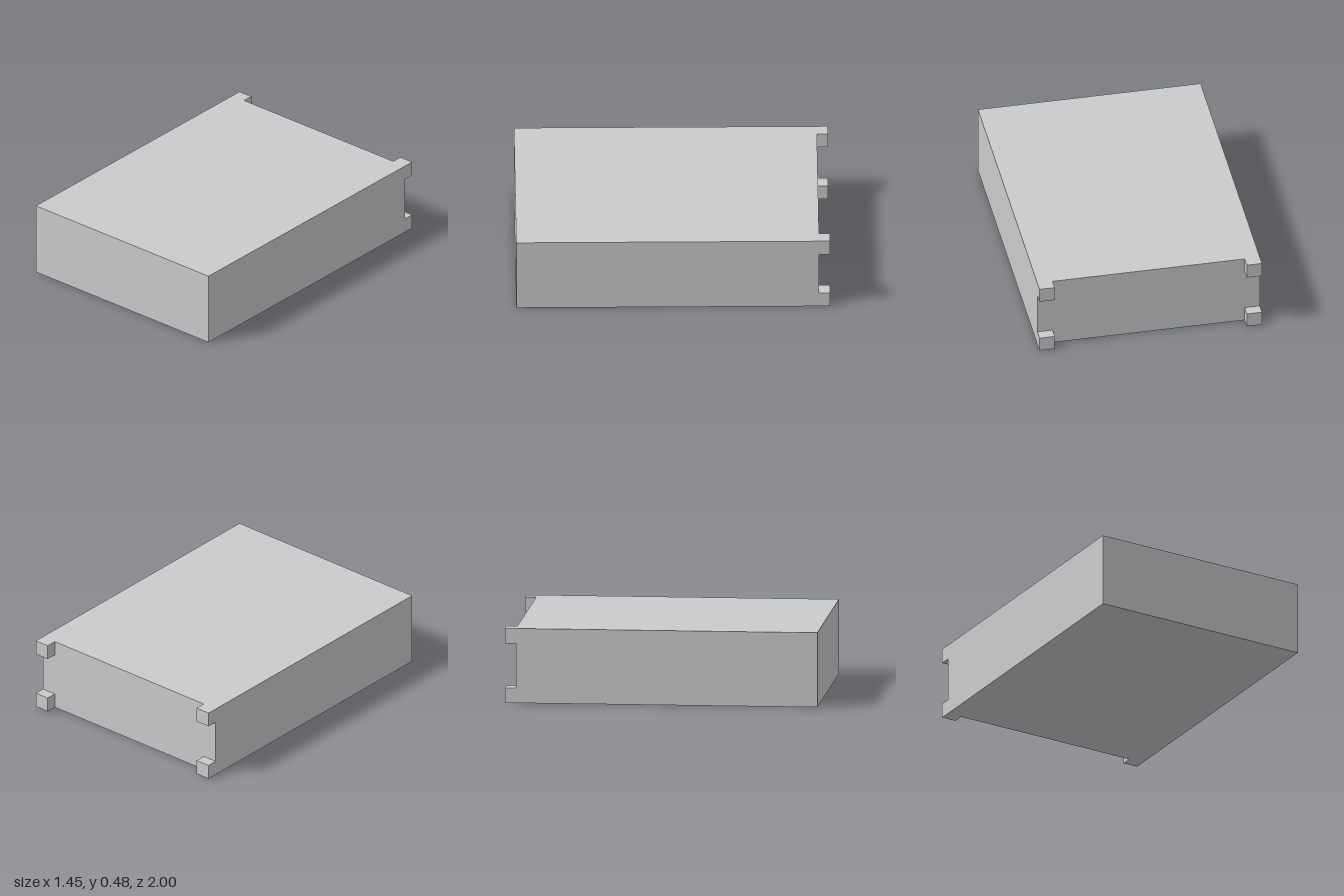
import * as THREE from 'three';

export function createModel() {
  const group = new THREE.Group();
  group.name = 'panelledDrawer';
  const material = new THREE.MeshStandardMaterial({ color: 0xcccccc, flatShading: true });

  const H = 0.48;               // overall height
  const W = 0.723, IN = 0.624;  // outer and inner half widths
  const FRONT = 0.94, BACK = -0.84, REAR = -0.93;
  const T = 0.05;               // thickness of the infill boards

  const add = (name, geometry) => {
    const mesh = new THREE.Mesh(geometry, material);
    mesh.name = name;
    group.add(mesh);
    return mesh;
  };
  // box given by its extents on each axis
  const box = (name, x0, x1, y0, y1, z0, z1) =>
    add(name, new THREE.BoxGeometry(x1 - x0, y1 - y0, z1 - z0))
      .position.set((x0 + x1) / 2, (y0 + y1) / 2, (z0 + z1) / 2);

  // front and back boards
  box('frontBoard', -W, W, 0, H, FRONT, 1);
  box('backBoard', -IN, IN, 0, H, REAR, BACK);

  // side boards, notched at the rear; profile is drawn in (-z, y)
  const profile = new THREE.Shape([
    [-FRONT, 0], [1, 0], [1, 0.097], [-REAR, 0.097],
    [-REAR, 0.383], [1, 0.383], [1, H], [-FRONT, H],
  ].map(([x, y]) => new THREE.Vector2(x, y)));
  const sideGeometry = new THREE.ExtrudeGeometry(profile, { depth: W - IN, bevelEnabled: false });
  sideGeometry.rotateY(Math.PI / 2);
  add('leftSideBoard', sideGeometry).position.x = IN;
  add('rightSideBoard', sideGeometry).position.x = -W;

  // top infill
  box('topPanel', -IN, IN, H - T, H, BACK, FRONT);

  // underside: long centre bar, cross bars and infill between them
  const bar = 0.048, C0 = -0.37, C1 = -0.28;
  box('centreBar', -bar, bar, 0, H - T, BACK, FRONT);
  for (const [side, x0, x1] of [['left', bar, IN], ['right', -IN, -bar]]) {
    box(side + 'CrossBar', x0, x1, 0, H - T, C0, C1);
    box(side + 'RearBottomPanel', x0, x1, 0, T, BACK, C0);
    box(side + 'FrontBottomPanel', x0, x1, 0, T, C1, FRONT);
  }
  return group;
}
